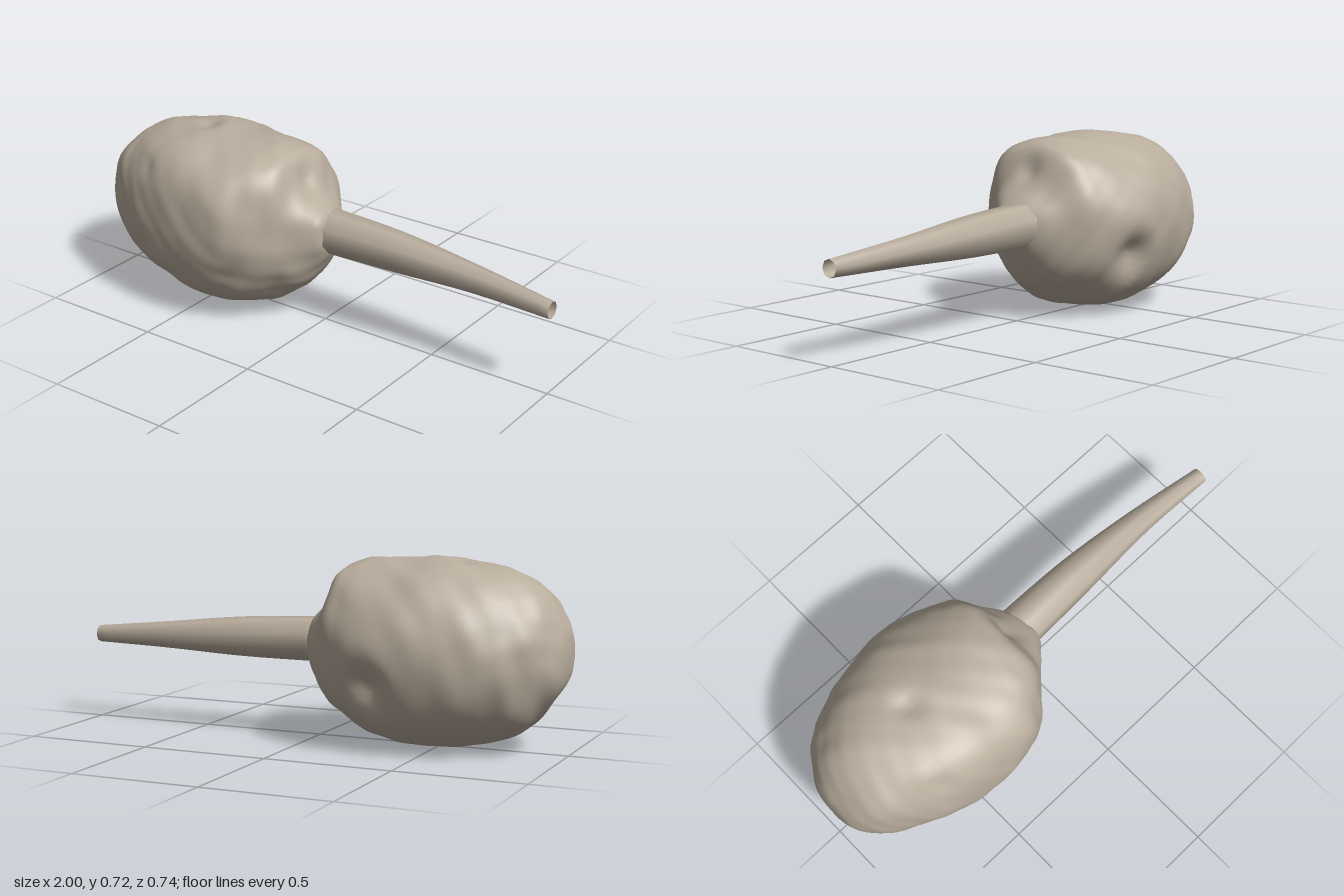
import * as THREE from 'three';

// Skin closed rings (lists of Vector3 running along +x) into one smooth surface
function skinRings(rings) {
  const n = rings[0].length, pos = [], idx = [];
  rings.forEach(r => r.forEach(p => pos.push(p.x, p.y, p.z)));
  for (let i = 0; i < rings.length - 1; i++) {
    for (let j = 0; j < n; j++) {
      const a = i * n + j, b = i * n + (j + 1) % n;
      idx.push(a, a + n, b, b, a + n, b + n);
    }
  }
  const g = new THREE.BufferGeometry();
  g.setAttribute('position', new THREE.Float32BufferAttribute(pos, 3));
  g.setIndex(idx);
  g.computeVertexNormals();
  return g;
}

const curve = pts => new THREE.CatmullRomCurve3(pts.map(p => new THREE.Vector3(...p)), false, 'catmullrom', 0.5);

// Body outline: x, top, bottom, back, front
const OUTLINE = [
  [-1, 0.38, 0.38, 0, 0], [-0.985, 0.48, 0.27, -0.1, 0.1], [-0.93, 0.57, 0.19, -0.18, 0.18],
  [-0.87, 0.63, 0.11, -0.235, 0.23], [-0.8, 0.665, 0.07, -0.285, 0.27], [-0.68, 0.7, 0.03, -0.335, 0.32],
  [-0.52, 0.72, 0.008, -0.365, 0.355], [-0.38, 0.71, 0.012, -0.37, 0.365], [-0.27, 0.705, 0.035, -0.35, 0.35],
  [-0.19, 0.7, 0.065, -0.31, 0.3], [-0.12, 0.67, 0.11, -0.265, 0.235], [-0.06, 0.55, 0.165, -0.19, 0.175],
  [0, 0.49, 0.25, -0.11, 0.11], [0.028, 0.45, 0.32, -0.06, 0.07], [0.03, 0.385, 0.385, 0, 0],
];

// Dents pushed towards the core: x, y, z, radius, depth
const DENTS = [
  [-0.32, 0.26, -0.33, 0.085, 0.06],
  [-0.57, 0.72, 0, 0.045, 0.025],
  [-0.67, 0.59, 0.27, 0.04, 0.02],
  [-0.09, 0.6, 0.01, 0.05, 0.025],
  [-0.27, 0.23, 0.31, 0.07, 0.015],
];

function bodyGeometry() {
  const tall = curve(OUTLINE.map(o => [o[0], o[1], o[2]]));
  const wide = curve(OUTLINE.map(o => [o[0], o[3], o[4]]));
  const rings = [], steps = 84, sides = 72;
  for (let i = 0; i <= steps; i++) {
    const v = tall.getPoint(i / steps), h = wide.getPoint(i / steps);
    const cy = (v.y + v.z) / 2, ry = (v.y - v.z) / 2;
    const cz = (h.y + h.z) / 2, rz = (h.z - h.y) / 2;
    const ring = [];
    for (let j = 0; j < sides; j++) {
      const a = j / sides * Math.PI * 2;
      // fuller upper front shoulder, slightly full lower back
      const swell = 1 + 0.11 * Math.exp(-(((a - 0.75) / 0.42) ** 2)) + 0.02 * Math.exp(-(((a - 3.9) / 0.4) ** 2));
      const p = new THREE.Vector3(v.x, cy + ry * swell * Math.sin(a), cz + rz * swell * Math.cos(a));
      const out = new THREE.Vector3((p.x + 0.48) * 0.5, p.y - 0.36, p.z).normalize();
      // lumpy skin
      let push = 0.005 * Math.sin(11 * p.x + 9 * p.y + 2) * Math.cos(13 * p.z - 5 * p.y)
        + 0.004 * Math.sin(24 * p.x - 14 * p.z + 1) * Math.sin(21 * p.y + 9 * p.z)
        + 0.002 * Math.sin(47 * p.x + 20 * p.y) * Math.sin(43 * p.z + 31 * p.y);
      push *= Math.min(1, ry / 0.15);
      for (const [x, y, z, r, depth] of DENTS) {
        const d2 = ((p.x - x) ** 2 + (p.y - y) ** 2 + (p.z - z) ** 2) / (r * r);
        push -= depth * Math.exp(-d2);
      }
      ring.push(p.addScaledVector(out, push));
    }
    rings.push(ring);
  }
  return skinRings(rings);
}

// Eight-sided tapering, open-ended stem
function stemGeometry() {
  const path = curve([[-0.02, 0.386, -0.022], [0.32, 0.378, -0.027], [0.66, 0.365, -0.022], [1, 0.348, 0.003]]);
  const radius = curve([[0, 0.091, 0], [1, 0.079, 0], [2, 0.054, 0], [3, 0.034, 0]]);
  const rings = [], steps = 24, sides = 8;
  for (let i = 0; i <= steps; i++) {
    const t = i / steps, c = path.getPoint(t), r = radius.getPoint(t).y;
    const ring = [];
    for (let j = 0; j < sides; j++) {
      const a = (j + 0.5) / sides * Math.PI * 2 + t * 0.4;
      ring.push(new THREE.Vector3(c.x, c.y + r * Math.sin(a), c.z + r * Math.cos(a)));
    }
    rings.push(ring);
  }
  return skinRings(rings);
}

export function createModel() {
  const group = new THREE.Group();
  const beige = new THREE.MeshStandardMaterial({ color: 0xb9ad9d, side: THREE.DoubleSide });
  beige.name = 'beige';

  const body = new THREE.Mesh(bodyGeometry(), beige);
  body.name = 'body';
  const stem = new THREE.Mesh(stemGeometry(), beige);
  stem.name = 'stem';

  group.add(body, stem);
  return group;
}
